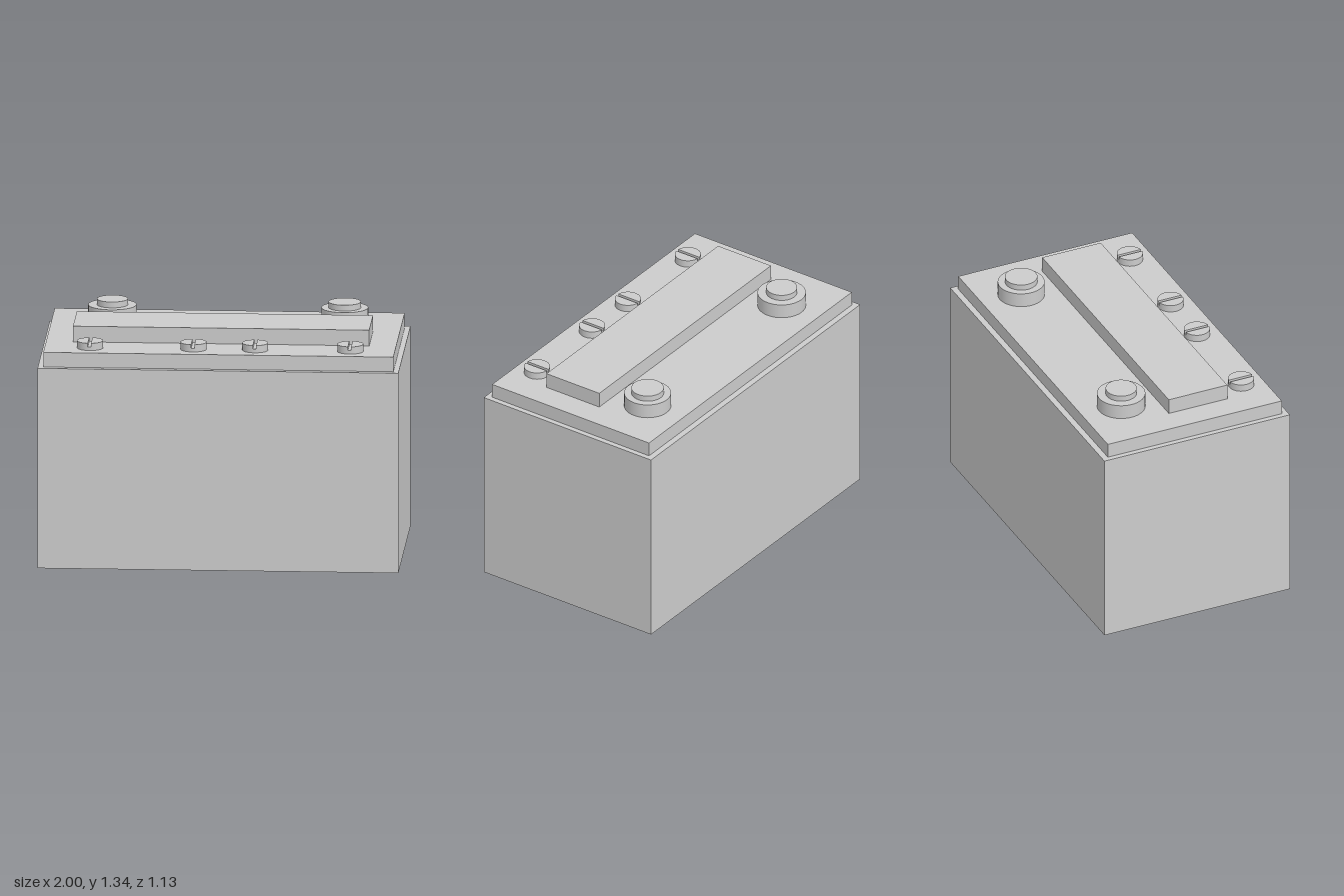
import * as THREE from 'three';
import { toCreasedNormals } from 'three/addons/utils/BufferGeometryUtils.js';

const material = new THREE.MeshStandardMaterial({ color: 0xcccccc });
const BODY_TOP = 1.136, LID_TOP = 1.219;

function addMesh(parent, name, geometry, x, y, z) {
  const mesh = new THREE.Mesh(geometry, material);
  mesh.name = name;
  mesh.position.set(x, y, z);
  parent.add(mesh);
  return mesh;
}

// Box and cylinder placed by their bottom and top heights
function addBox(parent, name, width, depth, bottom, top, z = 0) {
  return addMesh(parent, name, new THREE.BoxGeometry(width, top - bottom, depth), 0, (bottom + top) / 2, z);
}

function addDisc(parent, name, radius, bottom, top) {
  const geometry = new THREE.CylinderGeometry(radius, radius, top - bottom, 40);
  return addMesh(parent, name, geometry, 0, (bottom + top) / 2, 0);
}

// Terminal: wide collar with a narrower post on top
function createTerminal(name, collarRadius, postRadius) {
  const group = new THREE.Group();
  group.name = name;
  addDisc(group, 'terminalCollar', collarRadius, 0, 0.083);
  addDisc(group, 'terminalPost', postRadius, 0.083, 0.116);
  return group;
}

// Filler cap: disc with a slot running front to back
function createCap() {
  const radius = 0.072, slotHalf = 0.009, floor = 0.021, height = 0.041;
  const group = new THREE.Group();
  group.name = 'fillerCap';
  addDisc(group, 'capBase', radius, 0, floor);
  const angle = Math.acos(slotHalf / radius);
  const shape = new THREE.Shape().absarc(0, 0, radius, -angle, angle, false);
  shape.closePath();
  const extruded = new THREE.ExtrudeGeometry(shape, { depth: height - floor, bevelEnabled: false, curveSegments: 20 });
  const half = toCreasedNormals(extruded.rotateX(-Math.PI / 2), 0.6);
  addMesh(group, 'capHalfLeft', half, 0, floor, 0);
  addMesh(group, 'capHalfRight', half, 0, floor, 0).rotation.y = Math.PI;
  return group;
}

export function createModel() {
  const model = new THREE.Group();
  model.name = 'battery';

  // Case, lid and raised bar
  addBox(model, 'case', 2, 1.134, 0, BODY_TOP);
  addBox(model, 'lid', 1.94, 1.064, BODY_TOP, LID_TOP);
  addBox(model, 'raisedBar', 1.642, 0.358, LID_TOP, 1.308, 0.09);

  // Terminals along the back
  const right = createTerminal('terminalRight', 0.134, 0.086);
  right.position.set(-0.636, LID_TOP, -0.293);
  const left = createTerminal('terminalLeft', 0.13, 0.09);
  left.position.set(0.652, LID_TOP, -0.297);
  model.add(right, left);

  // Slotted caps along the front
  for (const x of [-0.718, -0.145, 0.197, 0.724]) {
    const cap = createCap();
    cap.position.set(x, LID_TOP, 0.402);
    model.add(cap);
  }
  return model;
}
